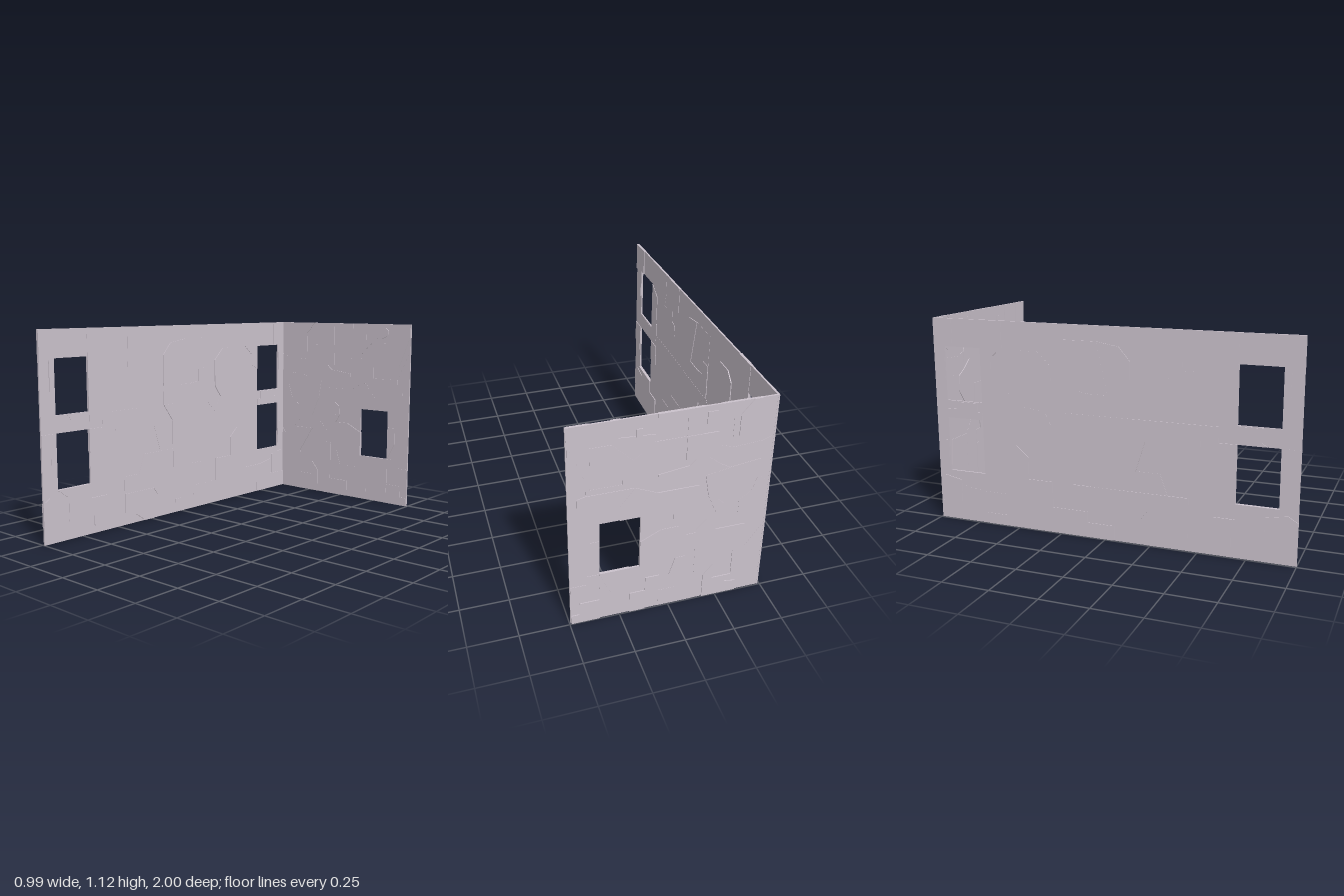
import * as THREE from 'three';

const material = new THREE.MeshStandardMaterial({ color: 0xcbc2cc, flatShading: true });
const HEIGHT = 1.12;
const HALF = 0.0045; // half thickness of the backing sheet
// relief of successive panels on the two faces of a wall
const FRONT = [0.0045, 0.0015, 0.003, 0.0008, 0.0038];
const BACK = [0.002, 0.0045, 0.001, 0.0035];

// outline in hundredths of a unit: x, y, x, y ...
function outline(points, Type = THREE.Shape) {
  const shape = new Type();
  for (let i = 0; i < points.length; i += 2) {
    shape[i ? 'lineTo' : 'moveTo'](points[i] / 100, points[i + 1] / 100);
  }
  shape.closePath();
  return shape;
}

function slab(name, shape, back, front) {
  const geometry = new THREE.ExtrudeGeometry(shape, { depth: back + front, bevelEnabled: false });
  geometry.translate(0, 0, -back);
  const mesh = new THREE.Mesh(geometry, material);
  mesh.name = name;
  return mesh;
}

// backing sheet with rectangular windows [x0, y0, x1, y1]
function makeWall(name, x0, x1, windows) {
  const wall = new THREE.Group();
  wall.name = name;
  const h = HEIGHT * 100;
  const sheet = outline([x0, 0, x1, 0, x1, h, x0, h]);
  for (const [a, b, c, d] of windows) {
    sheet.holes.push(outline([a, b, a, d, c, d, c, b], THREE.Path));
  }
  wall.add(slab('backingSheet', sheet, HALF, HALF));
  return wall;
}

// angular armour panels, each standing at its own height
function addPanels(wall, name, ...panels) {
  for (const points of panels) {
    const n = wall.children.length;
    wall.add(slab(name, outline(points), HALF + BACK[n % 4], HALF + FRONT[n % 5]));
  }
}

export function createModel() {
  const model = new THREE.Group();
  model.name = 'panelledCornerWalls';

  // short wall across the back
  const short = makeWall('shortWall', -48.5, 49.5, [[15, 28, 34.7, 58]]);
  short.position.z = -0.99;
  addPanels(short, 'upperLeftPanel',
    [-41, 112, -44, 107, -44, 99, -38, 93, -31, 93, -31, 105, -37, 112],
    [-28, 93, -28, 105, -22, 112, -37, 112, -31, 105, -31, 93],
    [-20, 109, -15, 109, -15, 102, -20, 102],
    [-14, 112, -14, 98, -6, 98, -6, 112],
    [-21, 98, -21, 95, -23, 90, -23, 84, -17, 85, -6, 85, -6, 98],
    [-48, 91, -43, 89, -39, 84, -31, 86, -23, 84, -23, 90, -29, 88, -43, 89]);
  addPanels(short, 'upperRightPanel',
    [-6, 108, 3, 108, 8, 109, 8, 112, -6, 112],
    [-6, 98, -6, 90, 19, 90, 15, 93, 9, 98],
    [15, 106, 18, 106, 18, 102, 15, 102],
    [25, 112, 29, 112, 34, 108, 34, 105, 30, 103, 25, 103],
    [9, 98, 15, 93, 20, 98, 26, 103, 9, 102],
    [7, 90, 19, 90, 29, 100, 39, 100, 39, 88, 24, 88, 24, 78, 7, 78],
    [39, 78, 49, 104, 49, 95, 41, 78],
    [39, 88, 39, 112, 49, 112, 49, 104, 42, 86]);
  addPanels(short, 'middleLeftPanel',
    [-28, 77, -23, 80, -17, 85, -11, 85, -8, 82, 7, 80, 7, 78, -7, 76, -16, 75],
    [-43, 79, -43, 70, -40, 69, -29, 69, -26, 75, -28, 77],
    [-28, 77, -16, 75, -18, 63, -23, 51, -26, 57, -23, 60, -29, 69],
    [-43, 70, -40, 61, -34, 57, -34, 47, -38, 42, -48, 42, -48, 65],
    [-13, 70, -5, 70, -5, 61, -1, 58, -1, 53, -13, 53],
    [-10, 53, -1, 53, -4, 48, 5, 48, 5, 39, -8, 42]);
  addPanels(short, 'middleRightPanel',
    [-5, 70, 7, 70, 18, 75, 25, 66, 25, 58, -1, 58, -5, 61],
    [18, 75, 41, 75, 41, 78, 7, 78, 7, 70],
    [25, 66, 45, 66, 45, 74, 41, 75, 18, 75],
    [35, 48, 40, 48, 40, 38, 35, 28],
    [5, 48, 15, 43, 15, 28, 5, 28]);
  addPanels(short, 'lowerLeftPanel',
    [-48, 40, -39, 27, -41, 11, -48, 11],
    [-38, 42, -23, 42, -33, 26, -33, 11, -41, 11],
    [-18, 49, -13, 44, -13, 17, -18, 14, -23, 20, -23, 42],
    [-33, 11, -23, 11, -23, 20, -18, 14, -18, 0, -36, 0, -36, 6, -30, 7],
    [-13, 34, -8, 34, -8, 10, 5, 10, 5, 0, -13, 0],
    [-8, 29, -3, 29, 0, 19, -3, 10, -8, 10],
    [-13, 42, -13, 34, -8, 34, -8, 29, 5, 29, 5, 39, -8, 42]);
  addPanels(short, 'lowerRightPanel',
    [5, 20, 12, 20, 12, 12, 20, 12, 20, 0, 12, 0, 12, 7, 5, 10],
    [20, 28, 35, 28, 28, 12, 20, 12],
    [35, 28, 28, 12, 35, 4],
    [35, 28, 41, 28, 41, 23, 49, 23, 49, 15, 41, 15, 41, 20, 35, 20],
    [35, 12, 45, 12, 45, 5, 49, 5, 49, 0, 35, 0]);
  model.add(short);

  // long wall on the right side; its outline runs along z
  const windows = [];
  for (const [y0, y1] of [[28, 58], [67.5, 97]]) {
    windows.push([69, y0, 90.5, y1], [-92.5, y0, -71, y1]);
  }
  const long = makeWall('longWall', -99.5, 100, windows);
  long.rotation.y = -Math.PI / 2;
  long.position.x = -0.4875;
  addPanels(long, 'frontEndPanel',
    [100, 112, 86, 112, 86, 97, 91, 97, 91, 80, 94, 80, 94, 96, 100, 96],
    [83, 67, 69, 67, 69, 58, 84, 58, 81, 60, 81, 64],
    [100, 45, 94, 45, 94, 41, 91, 41, 91, 58, 100, 58],
    [100, 22, 95, 25, 84, 23, 84, 10, 100, 10],
    [69, 28, 69, 20, 58, 20, 58, 5, 67, 4, 67, 10, 84, 10, 84, 23, 91, 28]);
  addPanels(long, 'upperPanel',
    [69, 112, 45, 112, 45, 100, 47, 92, 41, 92, 41, 80, 60, 74, 60, 92, 69, 97],
    [69, 97, 60, 92, 60, 62, 69, 62],
    [24, 112, 24, 95, 34, 94, 34, 88, 29, 86, 29, 80, 41, 80, 41, 112],
    [14, 95, 8, 102, -4, 104, 2, 77, 14, 77],
    [-4, 104, -22, 104, -22, 86, -15, 86, -15, 78, 2, 77],
    [14, 77, -8, 77, -15, 78, -15, 86, -22, 86, -22, 66, 14, 66],
    [-58, 112, -58, 98, -65, 92, -65, 85, -71, 82, -71, 112]);
  addPanels(long, 'octagonPanel',
    [-30, 90, -37, 97, -47, 97, -52, 92, -52, 74, -46, 67, -35, 67, -30, 74]);
  addPanels(long, 'middlePanel',
    [60, 66, 60, 58, 51, 58, 51, 55, 22, 55, 17, 39, 7, 39, 7, 56, 14, 66],
    [69, 45, 60, 45, 60, 58, 69, 58],
    [30, 39, 7, 39, 7, 28, 34, 28],
    [14, 66, -22, 66, -12, 58, -12, 48, -8, 48, -8, 28, 7, 28, 7, 56],
    [-22, 66, -30, 58, -34, 66, -46, 67, -52, 74, -58, 74, -58, 54, -50, 58, -30, 58],
    [-51, 46, -44, 40, -44, 28, -30, 28, -30, 14, -58, 18, -58, 42]);
  addPanels(long, 'lowerPanel',
    [45, 28, 45, 18, 23, 18, 20, 14, -10, 14, -18, 28],
    [45, 18, 23, 18, 23, 0, 30, 0, 37, 5, 45, 7],
    [-10, 14, -30, 14, -58, 18, -58, 6, -70, 6, -70, 0, 5, 0, 5, 8, -10, 8]);
  addPanels(long, 'backEndPanel',
    [-72, 18, -85, 20, -85, 10, -99, 10, -99, 0, -70, 0, -70, 6, -58, 6, -58, 18],
    [-86, 23, -96, 25, -96, 10, -86, 10],
    [-74, 67, -86, 67, -86, 63, -92, 63, -92, 58, -71, 58, -71, 62, -74, 62],
    [-93, 97, -88, 97, -88, 112, -99, 112, -99, 80, -93, 80],
    [-93, 45, -96, 45, -96, 30, -93, 30]);
  model.add(long);
  return model;
}
